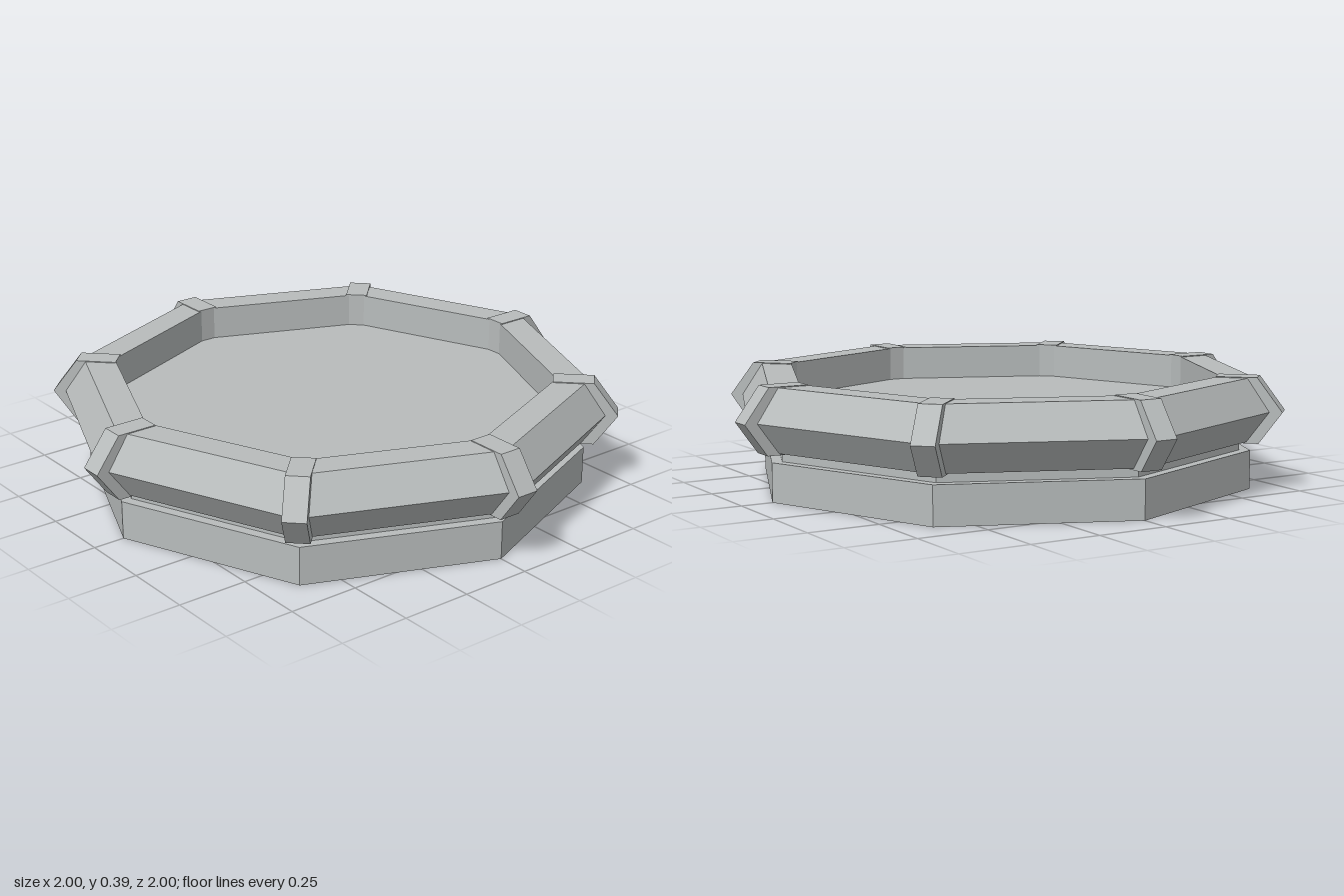
import * as THREE from 'three';

const SIDES = 8;

export function createModel() {
  const model = new THREE.Group();
  const stone = new THREE.MeshStandardMaterial({ color: 0xb8bcbc, flatShading: true, side: THREE.DoubleSide });
  stone.name = 'paleGreyStone';

  const add = (name, geometry, parent = model) => {
    const mesh = new THREE.Mesh(geometry, stone);
    mesh.name = name;
    parent.add(mesh);
    return mesh;
  };

  // Octagonal ring from a [radius, height] profile, corners on the axes
  const ring = (profile) =>
    new THREE.LatheGeometry(profile.map(([r, y]) => new THREE.Vector2(r, y)), SIDES);

  // Hollow base with a ledge and a recessed neck
  add('base', ring([[0.888, 0], [0.888, 0.135], [0.85, 0.135]]));
  add('neck', ring([[0.85, 0.135], [0.85, 0.17]]));

  // Bevelled rim, closed all round
  add('rim', ring([
    [0.782, 0.17], [0.895, 0.17], [0.972, 0.275], [0.895, 0.39], [0.782, 0.39], [0.782, 0.17],
  ]));

  // Basin floor, open below
  add('basinFloor', new THREE.CircleGeometry(0.785, SIDES).rotateX(-Math.PI / 2).translate(0, 0.27, 0));

  // Clamps over the rim at each corner
  const width = 0.08;
  const outline = new THREE.Shape(
    [[0.77, 0.165], [0.92, 0.165], [1, 0.275], [0.912, 0.393], [0.77, 0.393]]
      .map(([r, y]) => new THREE.Vector2(r, y)));
  const clampGeometry = new THREE.ExtrudeGeometry(outline, { depth: width, bevelEnabled: false })
    .translate(0, 0, -width / 2);
  const clamps = new THREE.Group();
  clamps.name = 'cornerClamps';
  for (let i = 0; i < SIDES; i++) {
    add('cornerClamp', clampGeometry, clamps).rotation.y = (i / SIDES) * Math.PI * 2;
  }
  model.add(clamps);

  return model;
}
